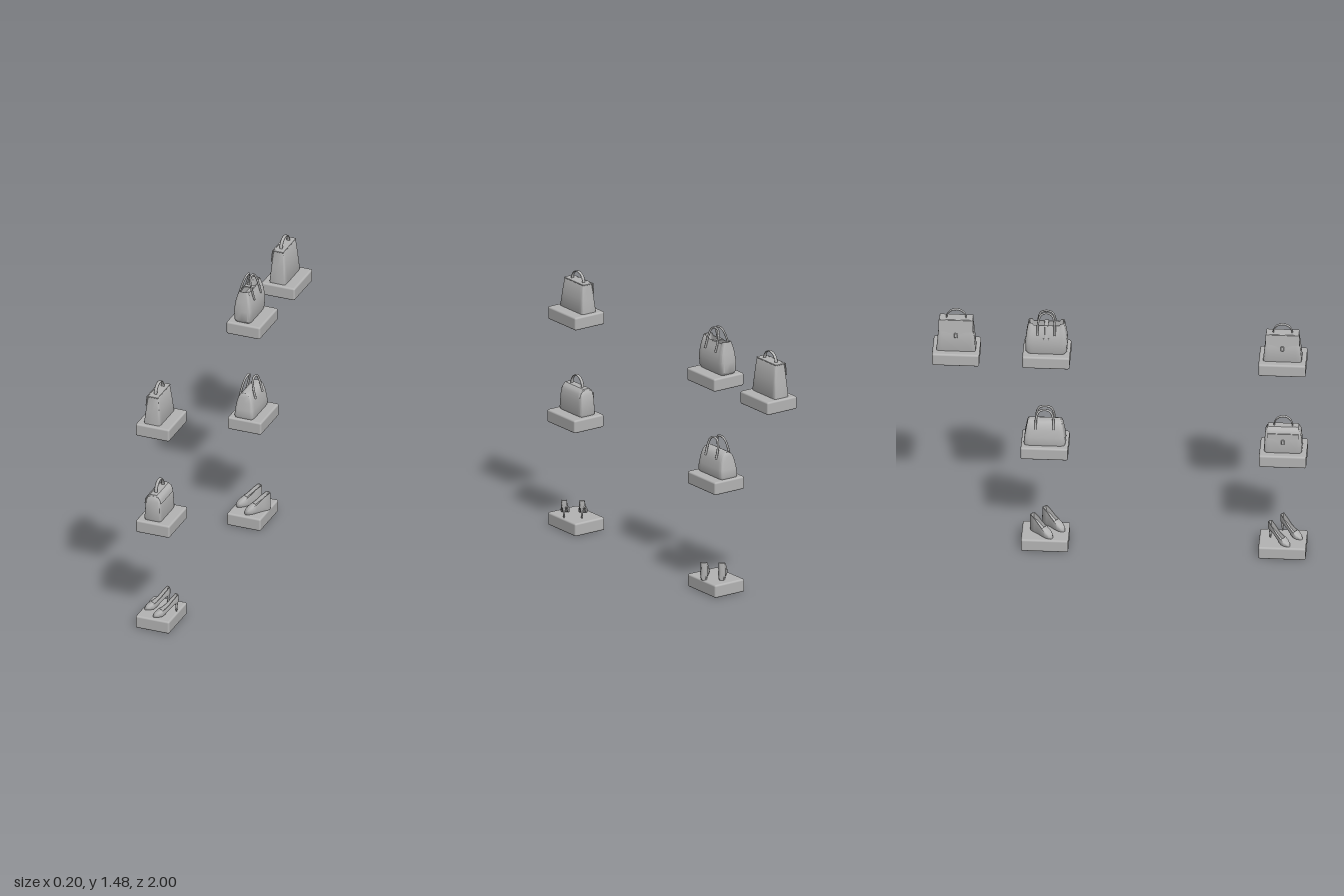
import * as THREE from 'three';
import { toCreasedNormals } from 'three/addons/utils/BufferGeometryUtils.js';
import { RoundedBoxGeometry } from 'three/addons/geometries/RoundedBoxGeometry.js';

const grey = new THREE.MeshStandardMaterial({ color: 0xb4b4b4 });
grey.name = 'plain grey';

function add(parent, name, geometry, x = 0, y = 0, z = 0) {
  const mesh = new THREE.Mesh(geometry, grey);
  mesh.name = name;
  mesh.position.set(x, y, z);
  parent.add(mesh);
  return mesh;
}

// Skin a list of equal-length rings and cap both ends
function loft(rings, crease = 0.6) {
  const n = rings[0].length, pos = [], index = [];
  rings.forEach(r => r.forEach(p => pos.push(...p)));
  for (let i = 0; i < rings.length - 1; i++) {
    for (let j = 0; j < n; j++) {
      const k = (j + 1) % n;
      const a = i * n + j, b = i * n + k, c = b + n, d = a + n;
      index.push(a, b, c, a, c, d);
    }
  }
  [0, rings.length - 1].forEach((r, end) => {
    const centre = pos.length / 3;
    for (let q = 0; q < 3; q++) pos.push(rings[r].reduce((s, p) => s + p[q], 0) / n);
    for (let j = 0; j < n; j++) {
      const a = r * n + j, b = r * n + (j + 1) % n;
      if (end) index.push(centre, a, b); else index.push(centre, b, a);
    }
  });
  const g = new THREE.BufferGeometry();
  g.setAttribute('position', new THREE.Float32BufferAttribute(pos, 3));
  g.setIndex(index);
  return toCreasedNormals(g, crease);
}

// Bag shell from levels of [y, half width x, half length z]; dip lowers the middle of the rim
function shell(levels, dip = 0, e = 0.3) {
  const n = 40, pow = v => Math.sign(v) * Math.pow(Math.abs(v), e);
  return loft(levels.map(([y, hx, hz]) => Array.from({ length: n }, (_, j) => {
    const t = j / n * Math.PI * 2, cz = pow(Math.cos(t)), sx = pow(Math.sin(t));
    const drop = y > 0.15 && Math.abs(cz) < 0.8 ? dip : 0;
    return [hx * sx, y - drop, hz * cz];
  })));
}

// Flat strap handle standing on the middle of a bag
function strapHandle(bag, y, radius, height) {
  const g = new THREE.TorusGeometry(radius - 0.003, 0.0035, 8, 24, Math.PI);
  g.rotateY(Math.PI / 2);
  g.scale(2.8, height / radius, 1);
  add(bag, 'handle', g, 0, y, 0);
}

// Pair of round handles leaning towards each other
function twinHandles(bag, base, top, xBase, xTop, half, radius) {
  for (const s of [-1, 1]) {
    const pts = [[-1, 0], [-0.95, 0.55], [-0.65, 0.9], [0, 1], [0.65, 0.9], [0.95, 0.55], [1, 0]].map(
      ([z, t]) => new THREE.Vector3(s * (xBase + (xTop - xBase) * t), base + (top - base) * t, z * half));
    add(bag, 'handle', new THREE.TubeGeometry(new THREE.CatmullRomCurve3(pts), 28, radius, 8));
  }
}

// Flap lying on the -x face, with a pointed lower edge and a clasp
function flap(bag, x, y, half, drop, point, lean) {
  const s = new THREE.Shape();
  s.moveTo(-half, 0);
  s.lineTo(-half, -drop);
  s.quadraticCurveTo(-half * 0.4, -drop, -0.014, -drop - point);
  s.lineTo(0.014, -drop - point);
  s.quadraticCurveTo(half * 0.4, -drop, half, -drop);
  s.lineTo(half, 0);
  const g = new THREE.ExtrudeGeometry(s, { depth: 0.005, bevelEnabled: false });
  g.rotateY(-Math.PI / 2);
  const holder = new THREE.Group();
  holder.name = 'frontFlap';
  holder.position.set(x, y, 0);
  holder.rotation.z = -lean;
  add(holder, 'flapPanel', g);
  add(holder, 'clasp', new RoundedBoxGeometry(0.008, 0.026, 0.018, 2, 0.003), -0.006, -drop - point, 0);
  bag.add(holder);
}

// Tall tapered bag with a flap
function tallBag(bag, h, half) {
  add(bag, 'body', shell([
    [0, 0.047, half], [0.008, 0.049, half], [h * 0.5, 0.041, half * 0.93],
    [h - 0.012, 0.032, half * 0.85], [h, 0.025, half * 0.84]], 0, 0.18));
  add(bag, 'lid', new RoundedBoxGeometry(0.058, 0.006, half * 1.72, 2, 0.0025), 0, h - 0.002, 0);
  flap(bag, -0.03, h, half * 0.88, h * 0.36, 0.022, 0.1);
  strapHandle(bag, h, half * 0.52, 0.053);
}

// Open satchel with raised corners
function satchel(bag) {
  add(bag, 'body', shell([
    [0, 0.044, 0.1], [0.015, 0.048, 0.111], [0.07, 0.051, 0.113], [0.12, 0.045, 0.107],
    [0.155, 0.036, 0.101], [0.182, 0.026, 0.097], [0.181, 0.022, 0.092], [0.13, 0.022, 0.088]], 0.012, 0.25));
  twinHandles(bag, 0.12, 0.24, 0.048, 0.012, 0.046, 0.0055);
  // Closing strap over the mouth
  add(bag, 'closingStrap', new RoundedBoxGeometry(0.06, 0.005, 0.022, 2, 0.002), 0, 0.17, 0);
  for (const z of [-0.013, 0.013]) {
    add(bag, 'buckle', new RoundedBoxGeometry(0.006, 0.012, 0.006, 2, 0.002), -0.049, 0.095, z);
  }
  add(bag, 'strapEnd', new RoundedBoxGeometry(0.005, 0.07, 0.016, 2, 0.002), -0.042, 0.135, 0).rotation.z = -0.28;
}

// Domed bag with twin handles
function domedBag(bag) {
  add(bag, 'body', shell([
    [0, 0.054, 0.108], [0.012, 0.057, 0.112], [0.05, 0.054, 0.108], [0.09, 0.047, 0.101],
    [0.118, 0.038, 0.096], [0.134, 0.026, 0.092], [0.142, 0.01, 0.086]], 0, 0.22));
  twinHandles(bag, 0.1, 0.207, 0.046, 0.02, 0.048, 0.006);
}

// Round-shouldered bag with a wrapping lid
function lidBag(bag) {
  add(bag, 'body', shell([
    [0, 0.047, 0.098], [0.012, 0.05, 0.102], [0.08, 0.046, 0.099], [0.115, 0.042, 0.096],
    [0.132, 0.035, 0.09], [0.142, 0.02, 0.084]], 0, 0.2));
  add(bag, 'lid', shell([
    [0.105, 0.047, 0.084], [0.122, 0.044, 0.084], [0.138, 0.037, 0.084], [0.15, 0.02, 0.083]], 0, 0.12));
  flap(bag, -0.044, 0.12, 0.083, 0.028, 0.02, 0.06);
  strapHandle(bag, 0.148, 0.052, 0.06);
}

// Shoe sections run heel to toe: [z, sole y, floor y, rim y, half width]
function shoe(parent, sections, x, z) {
  const group = new THREE.Group();
  group.name = 'shoe';
  group.position.set(x, 0, z);
  group.rotation.y = -0.69;
  add(group, 'upper', loft(sections.map(([s, yb, f, yt, w]) => {
    const ym = yb + (yt - yb) * 0.3;
    return [[-0.85 * w, yt], [-w, ym], [-0.75 * w, yb], [0.75 * w, yb], [w, ym], [0.85 * w, yt],
      [0.68 * w, yt + (f > yt ? (f - yt) * 0.5 : 0)], [0.5 * w, f], [-0.5 * w, f],
      [-0.68 * w, yt + (f > yt ? (f - yt) * 0.5 : 0)]].map(([px, py]) => [px, py, s]);
  }), 0.9));
  parent.add(group);
  return group;
}

const stiletto = [
  [-0.002, 0.06, 0.102, 0.102, 0.009], [0.004, 0.057, 0.104, 0.104, 0.015], [0.007, 0.056, 0.066, 0.104, 0.016],
  [0.03, 0.05, 0.057, 0.084, 0.018], [0.06, 0.027, 0.034, 0.056, 0.019], [0.085, 0.008, 0.016, 0.04, 0.022],
  [0.1, 0.002, 0.013, 0.034, 0.025], [0.103, 0.001, 0.038, 0.033, 0.025], [0.122, 0, 0.029, 0.024, 0.022],
  [0.138, 0, 0.018, 0.014, 0.014], [0.147, 0.001, 0.009, 0.008, 0.005]];

const wedge = [
  [-0.004, 0, 0.098, 0.098, 0.012], [0.002, 0, 0.1, 0.1, 0.018], [0.006, 0, 0.07, 0.1, 0.02],
  [0.035, 0, 0.062, 0.086, 0.021], [0.065, 0, 0.045, 0.064, 0.022], [0.088, 0, 0.03, 0.05, 0.025],
  [0.091, 0, 0.053, 0.048, 0.025], [0.115, 0, 0.042, 0.035, 0.025], [0.134, 0, 0.03, 0.024, 0.019],
  [0.145, 0, 0.016, 0.013, 0.008]];

function shoePair(parent, sections, heel) {
  for (const [x, z] of [[0.09, -0.012], [0.016, -0.073]]) {
    const s = shoe(parent, sections, x, z);
    if (heel) add(s, 'heel', new THREE.CylinderGeometry(0.009, 0.0035, 0.066, 10), 0, 0.033, 0.007);
  }
}

export function createModel() {
  const model = new THREE.Group();
  model.name = 'accessoryDisplay';
  // Each stand: name, height, x, z, item x offset, builder
  const stands = [
    ['tallBag', 1.16, -0.003, 0.873, -0.012, g => tallBag(g, 0.16, 0.103)],
    ['largeTallBag', 1.16, -0.003, -0.873, -0.012, g => tallBag(g, 0.187, 0.105)],
    ['satchel', 1.16, -0.003, -0.39, -0.014, satchel],
    ['domedBag', 0.58, 0, -0.399, -0.012, domedBag],
    ['lidBag', 0.58, 0, 0.876, -0.012, lidBag],
    ['stilettoShoes', 0, -0.003, 0.873, 0, g => shoePair(g, stiletto, true)],
    ['wedgeShoes', 0, -0.003, -0.397, 0, g => shoePair(g, wedge, false)],
  ];
  for (const [name, y, x, z, dx, build] of stands) {
    const stand = new THREE.Group();
    stand.name = name + 'Stand';
    stand.position.set(x, y, z);
    add(stand, 'plinth', new RoundedBoxGeometry(0.195, 0.072, 0.253, 3, 0.01), 0, 0.036, 0);
    const item = new THREE.Group();
    item.name = name;
    item.position.set(dx, 0.071, 0);
    build(item);
    stand.add(item);
    model.add(stand);
  }
  return model;
}
